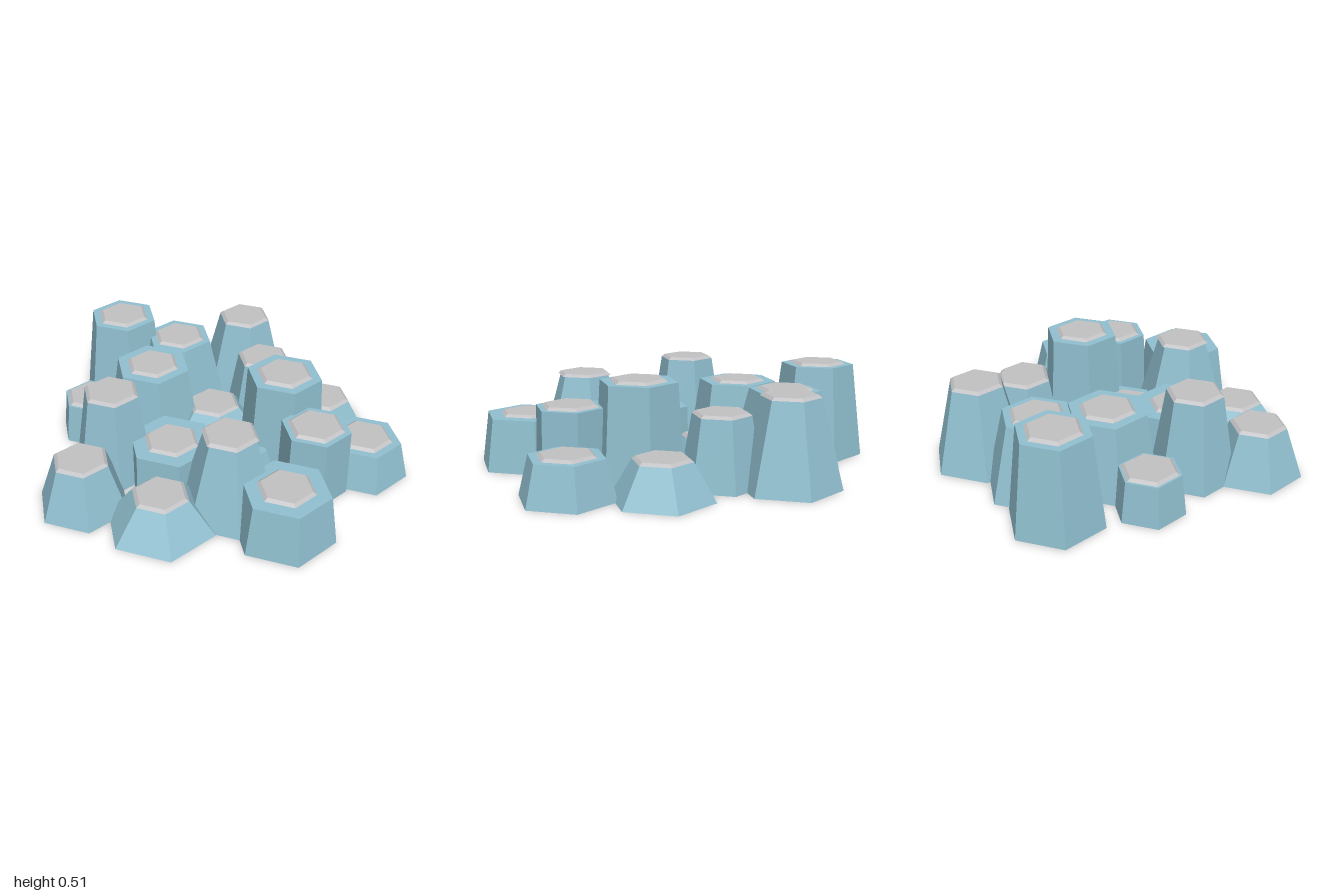
import * as THREE from 'three';

// x, z, base radius, top radius, height of each column
const COLUMNS = [
  [-0.375, -0.70, 0.263, 0.148, 0.447],
  [0.262, -0.715, 0.258, 0.148, 0.188],
  [-0.075, -0.57, 0.21, 0.148, 0.352],
  [0.682, -0.58, 0.245, 0.193, 0.203],
  [0.283, -0.363, 0.23, 0.2, 0.497],
  [0.605, -0.272, 0.187, 0.18, 0.372],
  [-0.513, -0.31, 0.29, 0.188, 0.402],
  [-0.125, -0.235, 0.28, 0.15, 0.162],
  [0.197, -0.065, 0.245, 0.2, 0.14],
  [-0.782, -0.115, 0.252, 0.192, 0.497],
  [-0.365, 0.005, 0.27, 0.208, 0.405],
  [-0.562, 0.285, 0.186, 0.162, 0.22],
  [0.08, 0.245, 0.236, 0.23, 0.245],
  [0.447, 0.178, 0.265, 0.135, 0.45],
  [0.766, 0.1, 0.265, 0.225, 0.27],
  [0.323, 0.52, 0.287, 0.15, 0.182],
  [-0.2, 0.41, 0.226, 0.148, 0.477],
  [-0.062, 0.715, 0.244, 0.148, 0.272],
];

const CAP_HEIGHT = 0.014;

export function createModel() {
  const blueStone = new THREE.MeshStandardMaterial({ color: 0x91c0d0 });
  blueStone.name = 'blueStone';
  const greyStone = new THREE.MeshStandardMaterial({ color: 0xc2c2c4 });
  greyStone.name = 'greyStone';

  // Six-sided frustum standing on y, with flat facets
  const hexagon = (name, topRadius, baseRadius, height, y, material) => {
    const geometry = new THREE.CylinderGeometry(topRadius, baseRadius, height, 6).toNonIndexed();
    geometry.computeVertexNormals();
    const mesh = new THREE.Mesh(geometry, material);
    mesh.name = name;
    mesh.position.y = y + height / 2;
    return mesh;
  };

  const model = new THREE.Group();
  model.name = 'basaltColumns';
  for (const [x, z, base, top, height] of COLUMNS) {
    const column = new THREE.Group();
    column.name = 'column';
    column.position.set(x, 0, z);
    // Tapered shaft and its thin bevelled cap
    column.add(hexagon('shaft', top, base, height, 0, blueStone));
    column.add(hexagon('cap', 0.13, 0.149, CAP_HEIGHT, height, greyStone));
    model.add(column);
  }
  return model;
}
